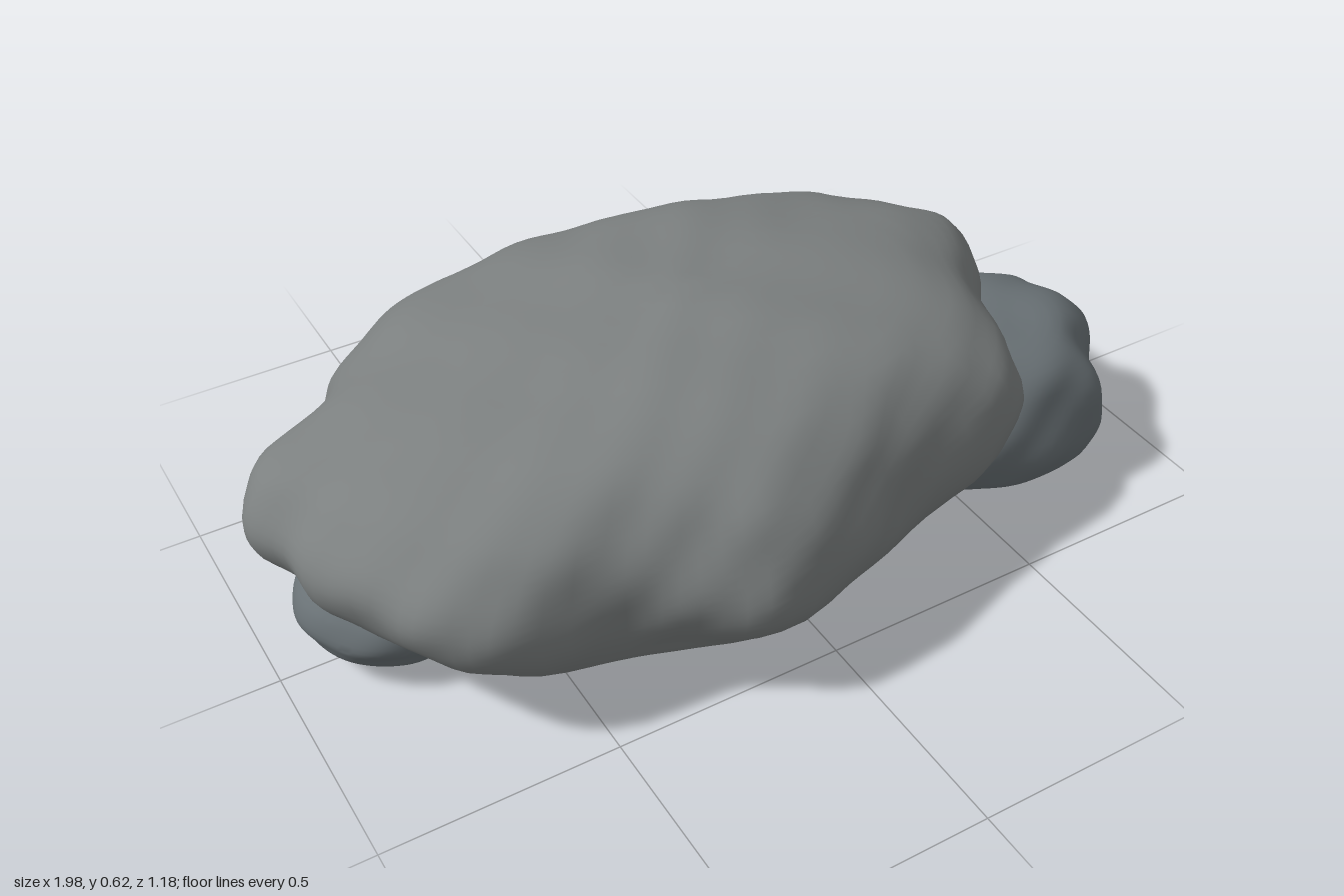
import * as THREE from 'three';
import { toCreasedNormals, mergeVertices } from 'three/addons/utils/BufferGeometryUtils.js';

const AROUND = 110;

// Smooth rolling bumps over the stone
function bump(x, y, z, seed) {
  return 0.35 * Math.sin(9 * x + 4 * y + seed) * Math.cos(10 * z - 5 * y + 2 * seed)
    + 0.35 * Math.sin(17 * z + 7 * x + 14 * y + 3 * seed)
    + 0.35 * Math.sin(19 * x - 13 * z + 23 * y + seed)
    + 0.25 * Math.cos(31 * x + 24 * z - 27 * y);
}

// A stone is a plan outline [x, z] swept through levels [scale, height], on a flat base.
// Away from its widest level the plan eases into an ellipse; t runs from 0 (base) to 1 (top).
function stone(name, color, { outline, centre, radii, levels, rise, lean, rough, seed }) {
  const plan = new THREE.CatmullRomCurve3(
    outline.map(([x, z]) => new THREE.Vector3(x, 0, z)), true, 'centripetal');
  const profile = new THREE.CatmullRomCurve3(
    levels.map(([s, y]) => new THREE.Vector3(s, y, 0)), false, 'centripetal');
  const ring = plan.getPoints(AROUND);
  const rows = (levels.length - 1) * 4;
  const [cx, cz] = centre;
  const pos = [], index = [];
  for (let j = 0; j <= rows; j++) {
    const t = j / rows;
    const p = profile.getPoint(t);
    const s = Math.max(0, p.x);
    const ease = Math.min(1, 2.5 * (1 - Math.min(1, s)));
    // Bumps fade out on the flat underside
    const k = rough * THREE.MathUtils.smoothstep(j, 4, 9);
    for (let i = 0; i < AROUND; i++) {
      const ox = ring[i].x - cx, oz = ring[i].z - cz;
      const e = 1 / Math.hypot(ox / radii[0], oz / radii[1]);
      const f = s * THREE.MathUtils.lerp(1, e, ease);
      const dx = ox * f, dz = oz * f;
      const x = cx + dx + lean[0] * t * t, z = cz + dz + lean[1] * t * t;
      const n = k * bump(x, p.y, z, seed);
      const r = Math.hypot(dx, dz) || 1;
      const up = t > 0.55 ? 1 - s * s : 0;
      pos.push(x + dx / r * n * s, p.y + rise(x, t) + n * 0.6 * up, z + dz / r * n * s);
    }
  }
  for (let j = 0; j < rows; j++) {
    for (let i = 0; i < AROUND; i++) {
      const a = j * AROUND + i, b = j * AROUND + (i + 1) % AROUND;
      const d = a + AROUND, c = b + AROUND;
      if (j > 0) index.push(a, b, c);
      if (j < rows - 1) index.push(a, c, d);
      else index.push(a, b, d);
    }
  }
  let geo = new THREE.BufferGeometry();
  geo.setAttribute('position', new THREE.Float32BufferAttribute(pos, 3));
  geo.setIndex(index);
  geo = toCreasedNormals(mergeVertices(geo, 1e-4), 0.8);
  const mesh = new THREE.Mesh(geo, new THREE.MeshStandardMaterial({ color }));
  mesh.name = name;
  return mesh;
}

export function createModel() {
  const group = new THREE.Group();
  group.name = 'rockPile';

  // Broad slab resting on the two smaller stones, its ends turned up and its crown falling away
  group.add(stone('slabRock', 0x7c8080, {
    outline: [[0.78, -0.17], [0.73, -0.26], [0.63, -0.36], [0.54, -0.445], [0.36, -0.49],
      [0.2, -0.53], [-0.07, -0.57], [-0.2, -0.59], [-0.35, -0.565], [-0.48, -0.56], [-0.57, -0.52],
      [-0.7, -0.41], [-0.8, -0.27], [-0.96, -0.18], [-1, -0.08], [-0.95, 0.02], [-0.945, 0.12],
      [-0.87, 0.27], [-0.8, 0.37], [-0.68, 0.44], [-0.47, 0.465], [-0.35, 0.515], [-0.2, 0.585],
      [0.03, 0.54], [0.2, 0.475], [0.48, 0.41], [0.59, 0.3], [0.63, 0.1], [0.72, -0.02]],
    centre: [-0.1, 0],
    radii: [0.85, 0.57],
    levels: [[0, 0.06], [0.76, 0.06], [0.89, 0.13], [0.98, 0.21], [1, 0.28],
      [0.965, 0.37], [0.88, 0.455], [0.7, 0.54], [0.36, 0.592], [0, 0.61]],
    rise: (x, t) => (0.02 + 0.025 * x) * (1 - t)
      + x * x * (0.08 * Math.sin(Math.PI * t) - 0.22 * t ** 3),
    lean: [0.03, -0.015],
    rough: 0.012, seed: 1.3,
  }));

  // Stone under the left end of the slab, leaning in beneath it
  group.add(stone('leftRock', 0x697175, {
    outline: [[1.01, 0.06], [0.955, -0.02], [0.95, -0.11], [0.87, -0.14], [0.78, -0.16],
      [0.6, -0.19], [0.42, -0.1], [0.31, 0.08], [0.34, 0.25], [0.5, 0.345],
      [0.6, 0.37], [0.75, 0.355], [0.84, 0.32], [0.88, 0.23], [0.96, 0.16]],
    centre: [0.66, 0.09],
    radii: [0.34, 0.27],
    levels: [[0, 0.015], [0.8, 0.015], [0.94, 0.06], [1, 0.13], [0.95, 0.22],
      [0.83, 0.3], [0.62, 0.35], [0.3, 0.37], [0, 0.375]],
    rise: (x, t) => (0.88 - x) * 0.09 * (1 - t),
    lean: [-0.12, 0.05],
    rough: 0.014, seed: 4.1,
  }));

  // Smaller, lower stone under the right end of the slab
  group.add(stone('rightRock', 0x697175, {
    outline: [[-0.42, -0.17], [-0.5, -0.28], [-0.62, -0.33], [-0.77, -0.27], [-0.88, -0.15],
      [-0.94, -0.01], [-0.9, 0.11], [-0.78, 0.17], [-0.62, 0.11], [-0.49, 0]],
    centre: [-0.69, -0.07],
    radii: [0.25, 0.22],
    levels: [[0, 0], [0.88, 0], [0.96, 0.04], [1, 0.08], [0.94, 0.14], [0.72, 0.19], [0, 0.22]],
    rise: (x, t) => Math.max(0, -0.46 - x) * (0.12 * (1 - t) + 0.03 * Math.sin(Math.PI * t)),
    lean: [0, 0],
    rough: 0.01, seed: 2.6,
  }));

  return group;
}
